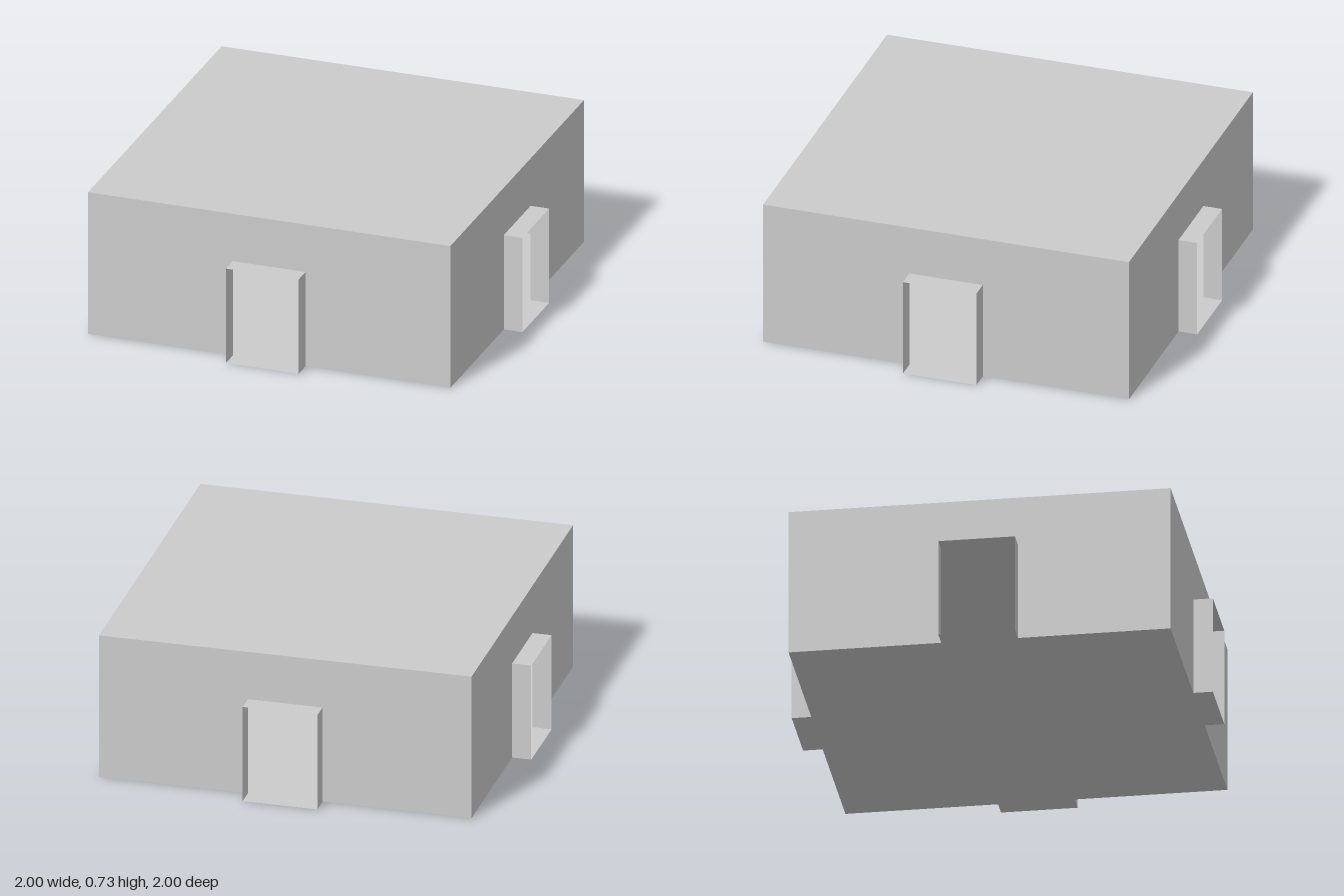
import * as THREE from 'three';

const HALF = 0.907;      // half width of the room
const HEIGHT = 0.727;    // room height
const DOOR_HALF = 0.182; // half width of a doorway
const DOOR_TOP = 0.484;  // doorway height
const DEPTH = 1 - HALF;  // how far each porch stands out

const material = new THREE.MeshStandardMaterial({
  color: 0xcccccc, flatShading: true, side: THREE.DoubleSide,
});

function addMesh(parent, name, geometry, x = 0, y = 0, z = 0) {
  const mesh = new THREE.Mesh(geometry, material);
  mesh.name = name;
  mesh.position.set(x, y, z);
  parent.add(mesh);
  return mesh;
}

// Horizontal sheet facing up (or down)
function sheet(width, depth, facing = 1) {
  return new THREE.PlaneGeometry(width, depth).rotateX(-facing * Math.PI / 2);
}

// One wall with its doorway and the short open porch in front of it
function createSide(name) {
  const side = new THREE.Group();
  side.name = name;

  const outline = new THREE.Shape([
    [-HALF, 0], [-DOOR_HALF, 0], [-DOOR_HALF, DOOR_TOP], [DOOR_HALF, DOOR_TOP],
    [DOOR_HALF, 0], [HALF, 0], [HALF, HEIGHT], [-HALF, HEIGHT],
  ].map(([x, y]) => new THREE.Vector2(x, y)));
  addMesh(side, 'wall', new THREE.ShapeGeometry(outline), 0, 0, HALF);

  const middle = HALF + DEPTH / 2;
  addMesh(side, 'porchFloor', sheet(DOOR_HALF * 2, DEPTH, -1), 0, 0, middle);
  addMesh(side, 'porchRoof', sheet(DOOR_HALF * 2, DEPTH), 0, DOOR_TOP, middle);
  for (const s of [-1, 1]) {
    const cheek = new THREE.PlaneGeometry(DEPTH, DOOR_TOP).rotateY(s * Math.PI / 2);
    addMesh(side, s > 0 ? 'porchLeftCheek' : 'porchRightCheek', cheek,
      s * DOOR_HALF, DOOR_TOP / 2, middle);
  }
  return side;
}

export function createModel() {
  const model = new THREE.Group();
  model.name = 'room';

  // Flat floor and roof of the hollow room
  addMesh(model, 'floor', sheet(HALF * 2, HALF * 2, -1));
  addMesh(model, 'roof', sheet(HALF * 2, HALF * 2), 0, HEIGHT);

  // Four identical sides around the room
  ['frontSide', 'leftSide', 'backSide', 'rightSide'].forEach((name, i) => {
    const side = createSide(name);
    side.rotation.y = i * Math.PI / 2;
    model.add(side);
  });
  return model;
}
